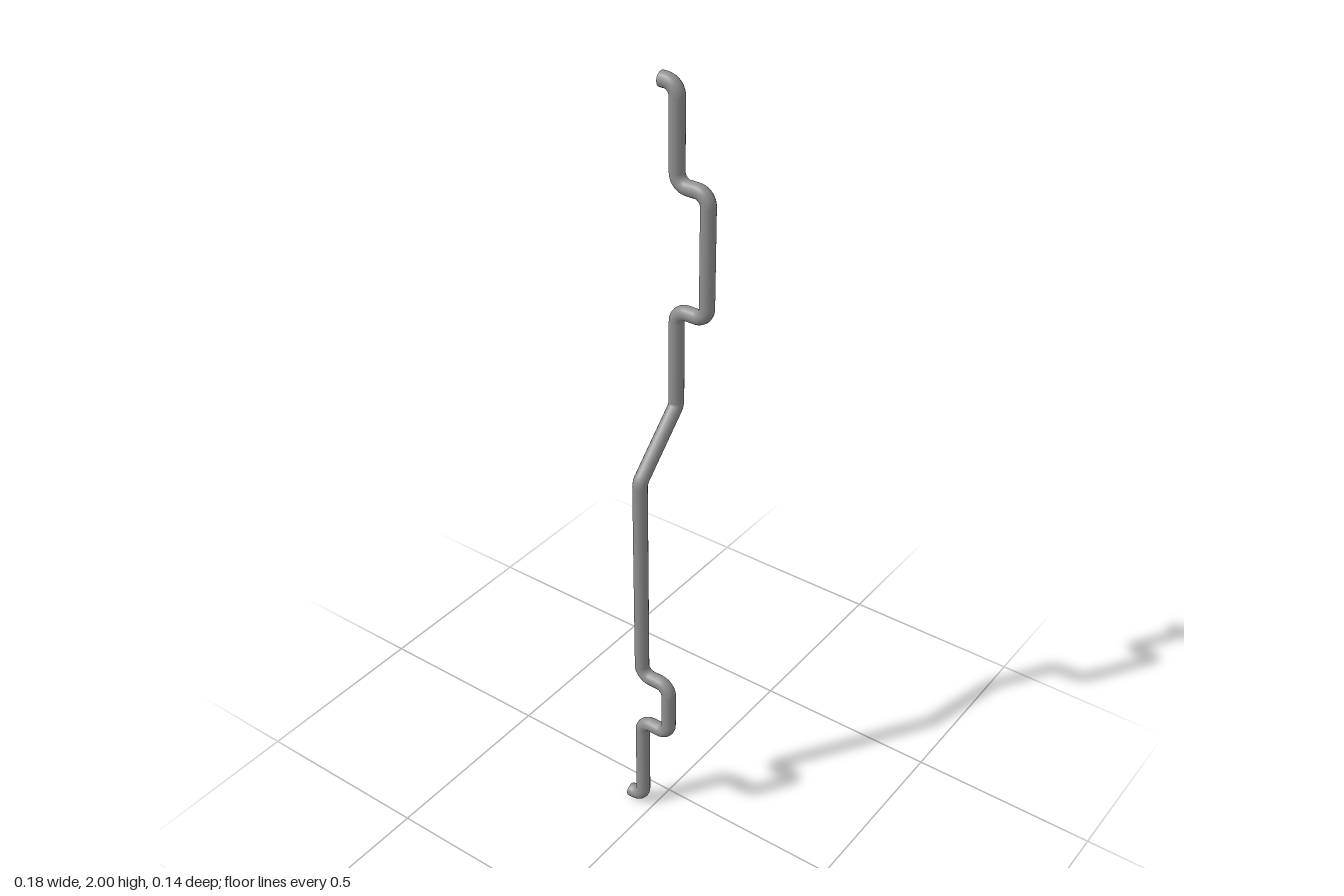
import * as THREE from 'three';

const R = 0.0185;     // rod radius
const X = 0.0725;     // sideways offset of upper and lower runs
const BACK = -0.032;  // depth of the main runs
const FRONT = 0.052;  // depth of the stepped-out grips
const END = -0.074;   // depth of the hooked ends
const BEND = 0.03;    // reach of the square bends
const KINK = 0.01;    // reach of the tighter bends on the slanted run

// Polyline whose inner corners are rounded by the reach stored with each point
function roundedPath(corners) {
  const points = corners.map(([x, y, z]) => new THREE.Vector3(x, y, z));
  const path = new THREE.CurvePath();
  let from = points[0];
  for (let i = 1; i < points.length - 1; i++) {
    const p = points[i];
    const reach = corners[i][3] ?? BEND;
    const toPrev = points[i - 1].clone().sub(p).normalize();
    const toNext = points[i + 1].clone().sub(p).normalize();
    const a = p.clone().addScaledVector(toPrev, reach);
    const b = p.clone().addScaledVector(toNext, reach);
    path.add(new THREE.LineCurve3(from, a));
    path.add(new THREE.CubicBezierCurve3(
      a, a.clone().lerp(p, 0.55), b.clone().lerp(p, 0.55), b));
    from = b;
  }
  path.add(new THREE.LineCurve3(from, points[points.length - 1]));
  return path;
}

export function createModel() {
  const group = new THREE.Group();
  group.name = 'crankedRod';

  // Centre line from the bottom hook to the top hook
  const path = roundedPath([
    [-X, R, END], [-X, R, BACK],
    [-X, 0.29, BACK], [-X, 0.29, FRONT], [-X, 0.45, FRONT], [-X, 0.45, BACK],
    [-X, 1.043, BACK, KINK], [X, 1.187, BACK, KINK],
    [X, 1.441, BACK], [X, 1.441, FRONT], [X, 1.75, FRONT], [X, 1.75, BACK],
    [X, 2 - R, BACK], [X, 2 - R, END],
  ]);

  // Open-ended bent rod
  const rod = new THREE.Mesh(
    new THREE.TubeGeometry(path, 500, R, 16, false),
    new THREE.MeshStandardMaterial({ color: 0x8f8f8f, side: THREE.DoubleSide }));
  rod.name = 'bentRod';
  group.add(rod);
  return group;
}
